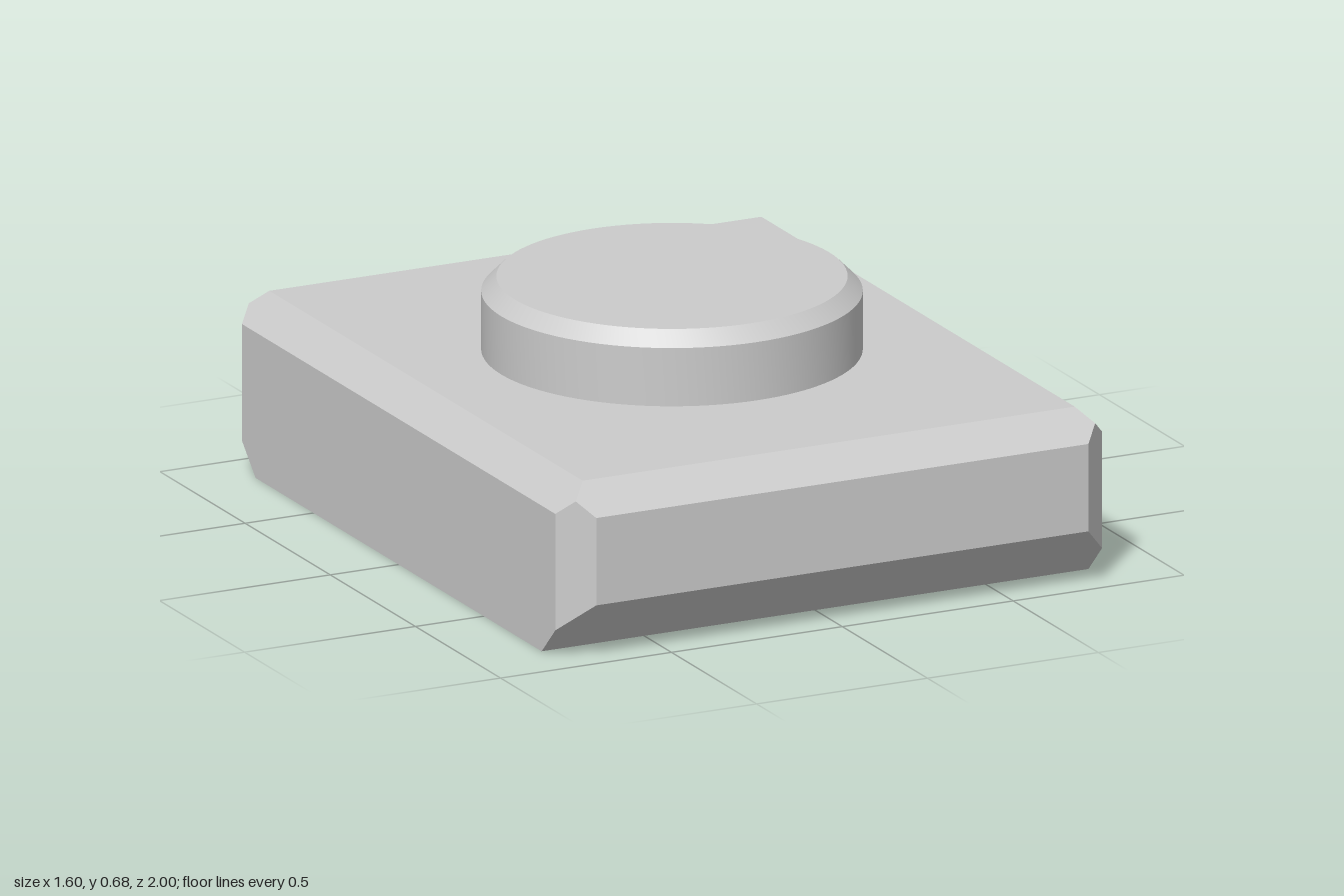
import * as THREE from 'three';
import { ConvexGeometry } from 'three/addons/geometries/ConvexGeometry.js';
import { toCreasedNormals } from 'three/addons/utils/BufferGeometryUtils.js';

export function createModel() {
  const model = new THREE.Group();
  const material = new THREE.MeshStandardMaterial({ color: 0xcccccc });

  const add = (name, geometry) => {
    const mesh = new THREE.Mesh(geometry, material);
    mesh.name = name;
    model.add(mesh);
  };

  // Base block: half sizes, height, edge chamfer c, deeper chamfer u under front and back
  const w = 0.8, d = 1, h = 0.48, c = 0.08, u = 0.16;
  const corner = [
    [w - c, h, d - c],
    [w - c / 2, h - c / 2, d - c / 2], // where the three chamfers meet
    [w, h - c, d - c],
    [w - c, h - c, d],
    [w - c, u, d],
    [w, u - c, d - c],
    [w, 0, d - u],
  ];
  const points = [];
  for (const sx of [1, -1]) {
    for (const sz of [1, -1]) {
      for (const [x, y, z] of corner) points.push(new THREE.Vector3(sx * x, y, sz * z));
    }
  }
  add('base', new ConvexGeometry(points));

  // Round boss with a chamfered rim
  const profile = [[0.5, h], [0.5, 0.64], [0.46, 0.68], [0, 0.68]]
    .map(([r, y]) => new THREE.Vector2(r, y));
  add('boss', toCreasedNormals(new THREE.LatheGeometry(profile, 96), 0.5));

  return model;
}
